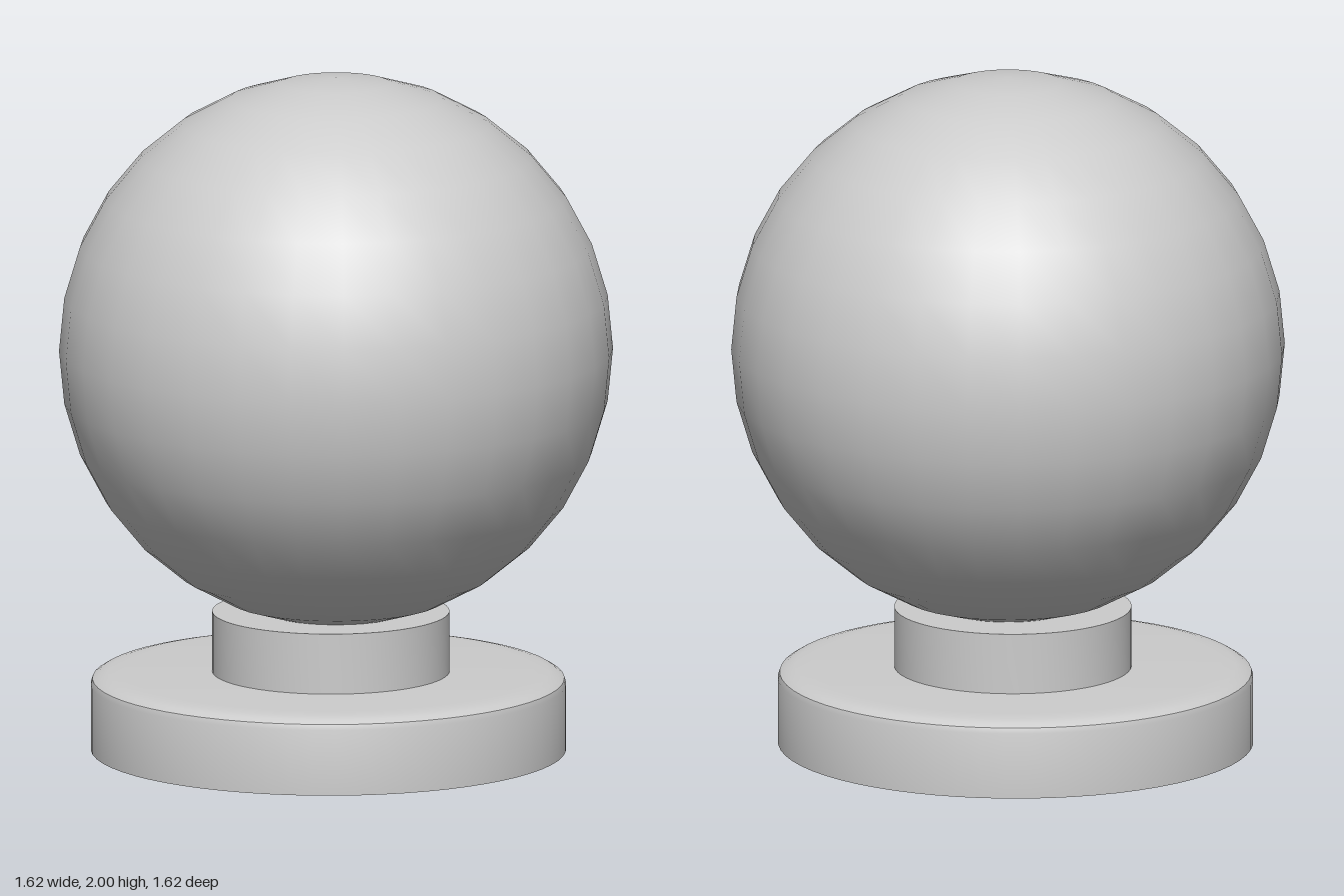
import * as THREE from 'three';
import { toCreasedNormals } from 'three/addons/utils/BufferGeometryUtils.js';

export function createModel() {
  const group = new THREE.Group();
  const material = new THREE.MeshStandardMaterial({ color: 0xcccccc });

  const add = (name, geometry, x, y, z) => {
    const mesh = new THREE.Mesh(geometry, material);
    mesh.name = name;
    mesh.position.set(x, y, z);
    group.add(mesh);
  };

  // Turned part, smooth around and sharp at its rims
  const turned = (profile) => toCreasedNormals(
    new THREE.LatheGeometry(profile.map(([r, y]) => new THREE.Vector2(r, y)), 64), 0.5);

  // Large ball
  add('ball', new THREE.SphereGeometry(0.81, 32, 16), 0, 1.19, 0);

  // Short neck that the ball rests in
  add('neck', turned([[0, 0], [0.347, 0], [0.347, 0.19], [0, 0.19]]), -0.012, 0.22, 0.01);

  // Round foot with a softened upper edge
  add('base', turned([
    [0, 0], [0.695, 0], [0.695, 0.195], [0.69, 0.211],
    [0.672, 0.222], [0.645, 0.228], [0.6, 0.231], [0, 0.231],
  ]), -0.01, 0, 0.02);

  return group;
}
